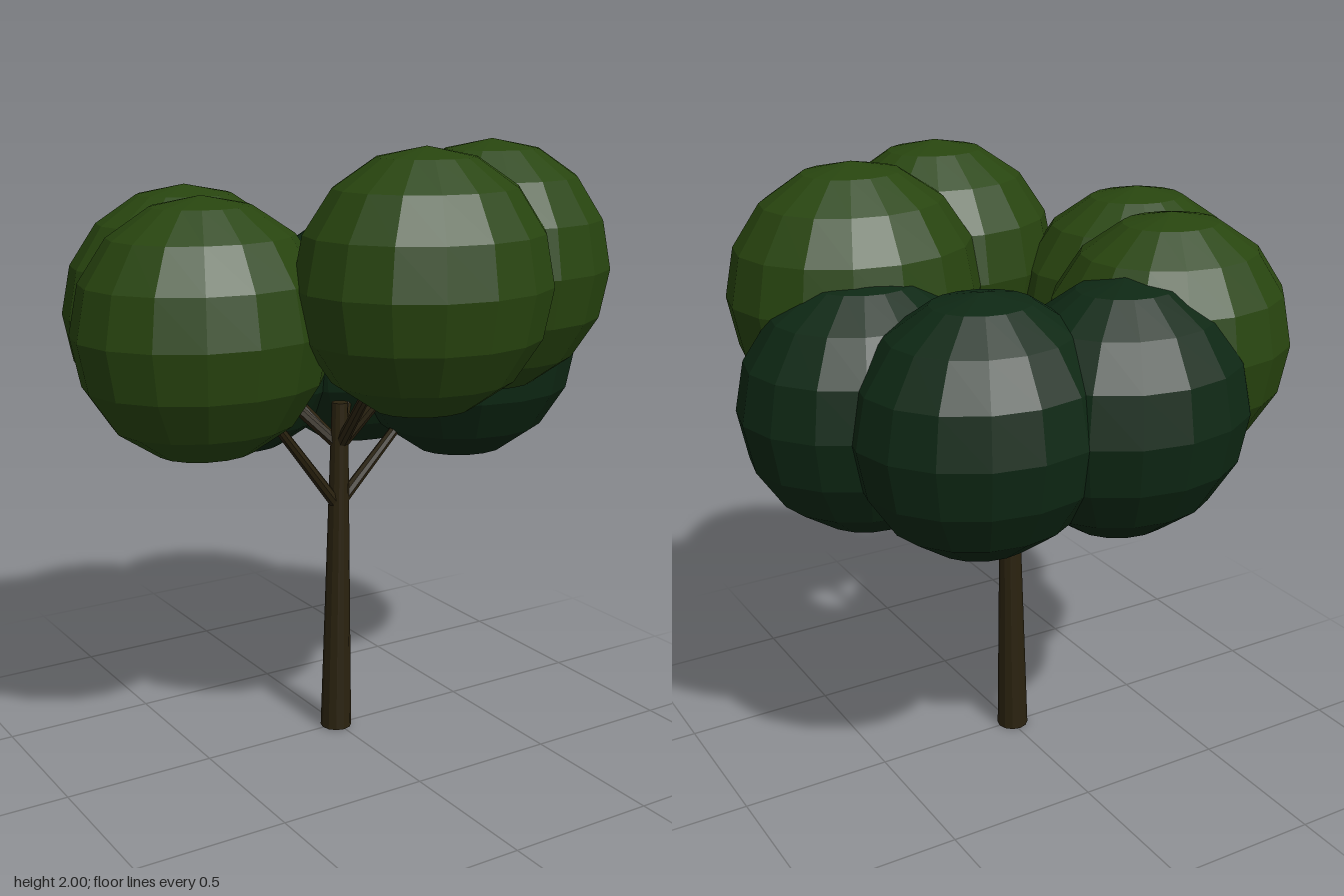
import * as THREE from 'three';

export function createModel() {
  const tree = new THREE.Group();
  tree.name = 'tree';

  const material = (name, color) => {
    const m = new THREE.MeshStandardMaterial({ color, flatShading: true });
    m.name = name;
    return m;
  };
  const lightLeaf = material('light leaf green', 0x28450f);
  const darkLeaf = material('dark leaf green', 0x0e2814);
  const bark = material('bark brown', 0x2a220f);

  // Tapered round limb between two points
  const limb = (name, from, to, r0, r1, sides) => {
    const axis = to.clone().sub(from);
    const mesh = new THREE.Mesh(new THREE.CylinderGeometry(r1, r0, axis.length(), sides), bark);
    mesh.position.copy(from).addScaledVector(axis, 0.5);
    mesh.quaternion.setFromUnitVectors(new THREE.Vector3(0, 1, 0), axis.normalize());
    mesh.name = name;
    tree.add(mesh);
  };

  // Trunk, leaning very slightly
  const base = new THREE.Vector3(-0.006, 0, 0);
  const top = new THREE.Vector3(0.01, 1.15, 0);
  limb('trunk', base, top, 0.053, 0.027, 12);

  // Leaf clumps: name, centre, material, height where the branch leaves the trunk
  const clumps = [
    ['leftFront', [0.43, 1.595, 0.235], lightLeaf, 1.0],
    ['front', [0.037, 1.595, 0.433], lightLeaf, 1.0],
    ['right', [-0.515, 1.45, 0.06], lightLeaf, 0.79],
    ['rightBack', [-0.39, 1.45, -0.305], lightLeaf, 1.0],
    ['back', [-0.138, 1.31, -0.435], darkLeaf, 1.0],
    ['leftBack', [0.31, 1.31, -0.36], darkLeaf, 1.0],
    ['left', [0.51, 1.31, -0.005], darkLeaf, 0.8],
  ];
  const clumpShape = new THREE.SphereGeometry(1, 16, 8);
  clumpShape.scale(0.41, 0.407, 0.36);

  for (const [name, centre, leaf, height] of clumps) {
    const clump = new THREE.Mesh(clumpShape, leaf);
    clump.name = name + 'Foliage';
    clump.position.set(...centre);
    tree.add(clump);

    // Branch runs from the trunk towards the middle of its clump
    const start = base.clone().lerp(top, height / top.y);
    const end = start.clone().lerp(clump.position, 0.85);
    limb(name + 'Branch', start, end, 0.021, 0.013, 8);
  }

  return tree;
}
